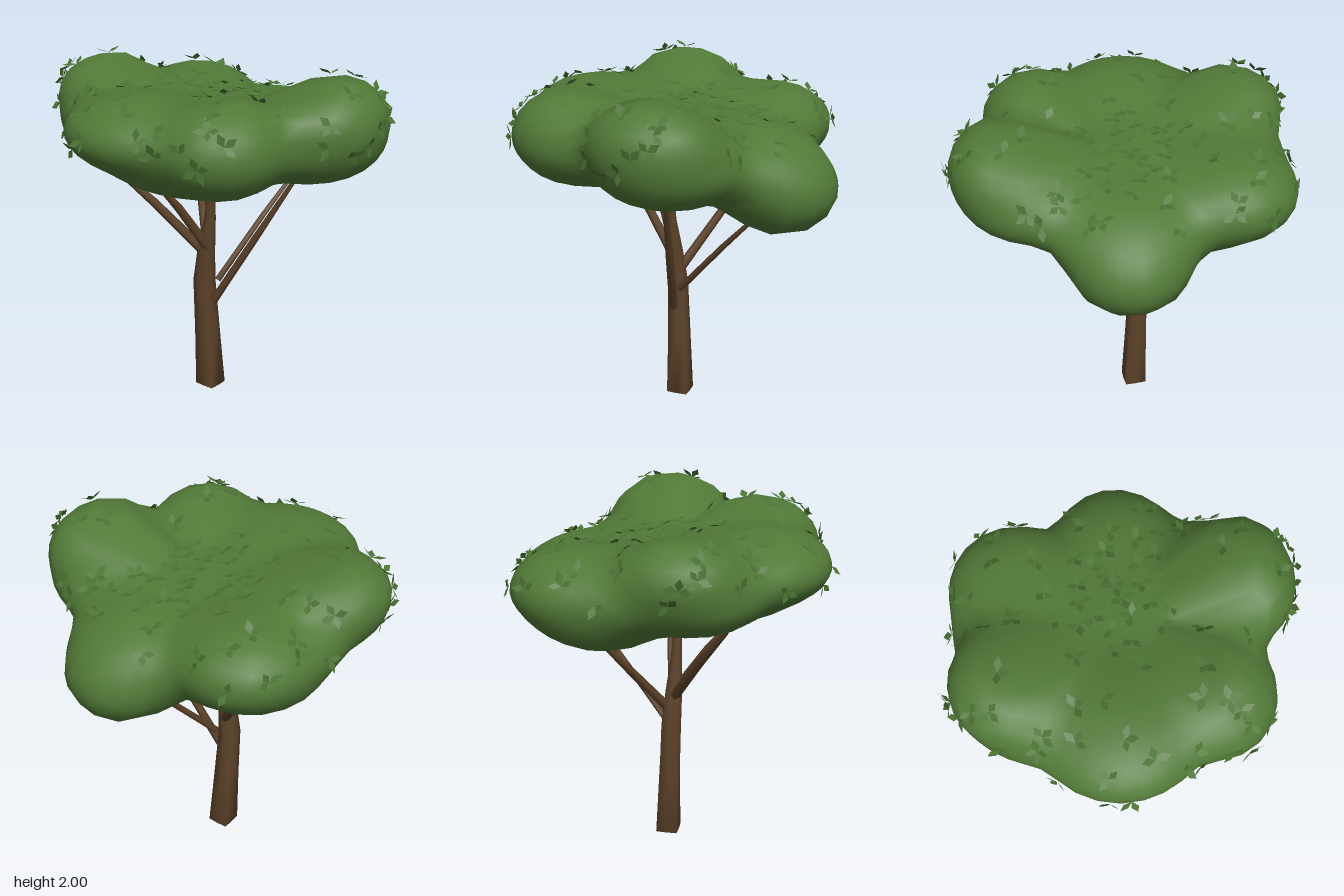
import * as THREE from 'three';
import { mergeVertices } from 'three/addons/utils/BufferGeometryUtils.js';

const V = (x, y, z) => new THREE.Vector3(x, y, z);
const CENTRE = V(0, 1.62, 0);

// Foliage lobes: centre and radii
const LOBES = [
  [V(0, 1.59, 0.03), V(0.62, 0.2, 0.58)],        // middle
  [V(0.1, 1.405, -0.6), V(0.31, 0.245, 0.31)],   // drooping back tip
  [V(0.07, 1.51, -0.44), V(0.41, 0.23, 0.36)],   // back shoulder
  [V(-0.49, 1.61, -0.38), V(0.34, 0.22, 0.335)], // back right
  [V(-0.39, 1.48, -0.24), V(0.41, 0.2, 0.36)],   // back right underside
  [V(-0.5, 1.61, -0.1), V(0.35, 0.2, 0.33)],     // bridge along the right side
  [V(-0.64, 1.76, 0.2), V(0.29, 0.2, 0.31)],     // right
  [V(-0.44, 1.62, 0.25), V(0.42, 0.21, 0.36)],   // right underside
  [V(-0.12, 1.68, 0.53), V(0.42, 0.2, 0.38)],    // front
  [V(0.05, 1.54, 0.36), V(0.45, 0.195, 0.38)],   // front underside
  [V(0.38, 1.67, 0.45), V(0.305, 0.255, 0.345)], // front left
  [V(0.65, 1.74, -0.1), V(0.28, 0.23, 0.34)],    // left
  [V(0.48, 1.6, -0.13), V(0.4, 0.22, 0.38)],     // left underside
];

// Smoothly blended distance to all the lobes
function field(p) {
  const k = 0.028;
  let sum = 0;
  for (const [c, r] of LOBES) {
    const d = (p.clone().sub(c).divide(r).length() - 1) * Math.min(r.x, r.y, r.z);
    sum += Math.exp(-d / k);
  }
  return -k * Math.log(sum);
}

// Outermost foliage point along a ray from the centre
function surfacePoint(dir) {
  const at = (t) => CENTRE.clone().addScaledVector(dir, t);
  let t = 1.2;
  while (t > 0.05 && field(at(t)) > 0) t -= 0.015;
  let lo = t, hi = t + 0.015;
  for (let i = 0; i < 8; i++) {
    const mid = (lo + hi) / 2;
    if (field(at(mid)) > 0) hi = mid; else lo = mid;
  }
  return at(lo);
}

function surfaceNormal(p) {
  const e = 0.01;
  const slope = (x, y, z) => field(p.clone().add(V(x, y, z))) - field(p.clone().sub(V(x, y, z)));
  return V(slope(e, 0, 0), slope(0, e, 0), slope(0, 0, e)).normalize();
}

// Canopy: a ball whose vertices are pushed out to the blended lobes
function canopyGeometry() {
  let geo = new THREE.IcosahedronGeometry(1, 8);
  geo.deleteAttribute('uv');
  geo.deleteAttribute('normal');
  geo = mergeVertices(geo, 1e-4);
  const pos = geo.attributes.position;
  for (let i = 0; i < pos.count; i++) {
    const dir = V().fromBufferAttribute(pos, i).multiply(V(1, 0.36, 1)).normalize();
    const p = surfacePoint(dir);
    pos.setXYZ(i, p.x, p.y, p.z);
  }
  geo.computeVertexNormals();
  return geo;
}

// Leaf sprigs: little fans of diamond leaves in a spiral over the upper foliage
function sprigGeometry(count) {
  let seed = 11;
  const rnd = () => (seed = (seed * 16807) % 2147483647) / 2147483647;
  const verts = [];
  for (let s = 0; s < count; s++) {
    const turn = s * 2.4 + rnd() * 0.5;
    const reach = Math.sqrt((s + 0.5) / count);
    const dir = V(reach * Math.cos(turn), 0.26 * (1 - reach ** 4), reach * Math.sin(turn)).normalize();
    const root = surfacePoint(dir);
    const n = surfaceNormal(root);
    const a = V(n.y, n.z, -n.x).cross(n).normalize();
    const b = n.clone().cross(a);
    const start = rnd() * Math.PI * 2;
    const leaves = 3 + Math.floor(rnd() * 1.4);
    for (let i = 0; i < leaves; i++) {
      const ang = start + i * 1.45 + rnd() * 0.3;
      const out = a.clone().multiplyScalar(Math.cos(ang)).addScaledVector(b, Math.sin(ang));
      const side = n.clone().cross(out);
      out.addScaledVector(n, 0.1 + rnd() * 0.4).normalize();
      const len = 0.062 + rnd() * 0.022;
      const base = root.clone().addScaledVector(n, 0.005);
      const mid = base.clone().addScaledVector(out, len * 0.5);
      const tip = base.clone().addScaledVector(out, len);
      const l = mid.clone().addScaledVector(side, len * 0.28);
      const r = mid.clone().addScaledVector(side, -len * 0.28);
      for (const v of [base, r, tip, base, tip, l]) verts.push(v.x, v.y, v.z);
    }
  }
  const geo = new THREE.BufferGeometry();
  geo.setAttribute('position', new THREE.Float32BufferAttribute(verts, 3));
  geo.computeVertexNormals();
  return geo;
}

// Tapered limb: rings along a path, capped; "square" pushes out every other vertex near the foot
function limbGeometry(points, radii, sides, square = 0) {
  const verts = [], index = [];
  const up = V(0, 0, 1);
  const end = points.length - 1;
  points.forEach((p, j) => {
    const dir = points[Math.min(j + 1, end)].clone().sub(points[Math.max(j - 1, 0)]).normalize();
    if (p.y === 0) dir.set(0, 1, 0); // level foot
    const a = dir.clone().cross(up).normalize();
    const b = a.clone().cross(dir);
    for (let i = 0; i < sides; i++) {
      const t = (i / sides) * Math.PI * 2;
      const r = radii[j] * (1 + square * (i % 2) * (1 - j / end) ** 2);
      const v = p.clone().addScaledVector(a, Math.cos(t) * r).addScaledVector(b, Math.sin(t) * r);
      verts.push(v.x, v.y, v.z);
      if (j < end) {
        const q = j * sides + i, s = j * sides + ((i + 1) % sides);
        index.push(q, q + sides, s, s, q + sides, s + sides);
      }
    }
  });
  const last = end * sides;
  for (let i = 1; i < sides - 1; i++) {
    index.push(0, i, i + 1, last, last + i + 1, last + i);
  }
  const geo = new THREE.BufferGeometry();
  geo.setAttribute('position', new THREE.Float32BufferAttribute(verts, 3));
  geo.setIndex(index);
  geo.computeVertexNormals();
  return geo;
}

export function createModel() {
  const model = new THREE.Group();
  model.name = 'tree';
  const bark = new THREE.MeshStandardMaterial({ color: 0x5c4229, side: THREE.DoubleSide });
  const foliage = new THREE.MeshStandardMaterial({ color: 0x527a38 });
  const leaf = new THREE.MeshStandardMaterial({ color: 0x4b7333, side: THREE.DoubleSide });
  const add = (name, geo, mat) => {
    const mesh = new THREE.Mesh(geo, mat);
    mesh.name = name;
    model.add(mesh);
  };

  // Trunk, squarish at the foot, narrowing into the upright leader
  add('trunk', limbGeometry(
    [V(-0.075, 0, 0.025), V(-0.088, 0.35, 0.035), V(-0.1, 0.68, 0.047), V(-0.075, 0.88, 0.057), V(-0.04, 1.08, 0.065), V(-0.015, 1.42, 0.075)],
    [0.064, 0.06, 0.057, 0.048, 0.032, 0.013], 8, 0.35), bark);

  // Branches: start, end, start radius, upward bow
  const branches = [
    [V(-0.03, 0.56, 0.05), V(0.47, 1.43, -0.09), 0.025, 0],
    [V(-0.03, 0.68, 0.01), V(0.17, 1.34, -0.58), 0.02, 0.01],
    [V(-0.08, 0.78, 0.03), V(-0.47, 1.36, -0.31), 0.028, 0],
    [V(-0.09, 0.86, 0.06), V(-0.52, 1.43, 0.42), 0.03, 0.015],
    [V(-0.05, 0.88, 0.06), V(-0.15, 1.42, 0.45), 0.028, 0.02],
  ];
  for (const [from, to, r, bow] of branches) {
    const mid = from.clone().lerp(to, 0.5).add(V(0, bow, 0));
    add('branch', limbGeometry([from, mid, to], [r, r * 0.85, r * 0.45], 6), bark);
  }

  add('canopy', canopyGeometry(), foliage);
  add('leafSprigs', sprigGeometry(90), leaf);
  return model;
}
